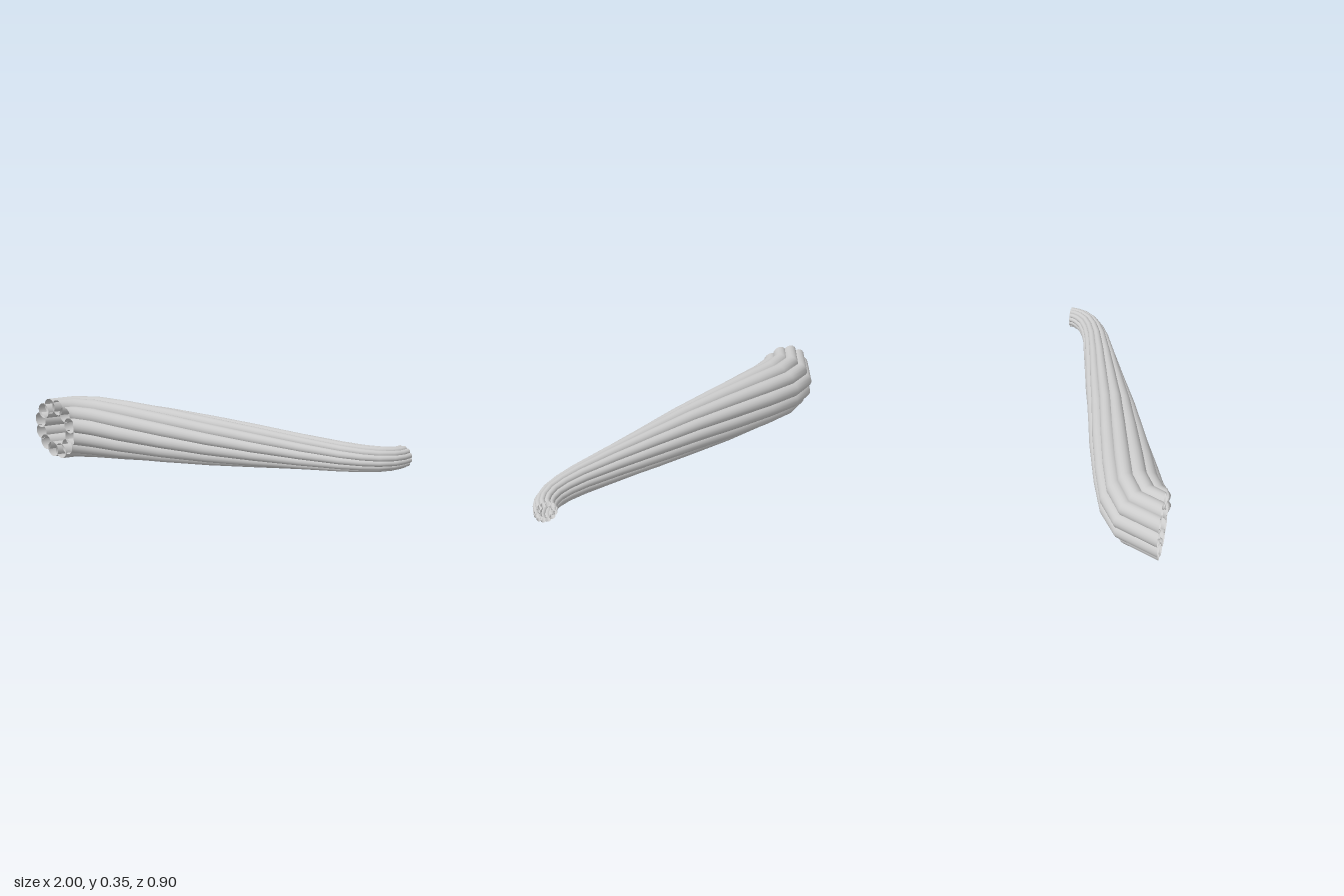
import * as THREE from 'three';

// Rings along the bundle: x, z, heading in degrees (from +x towards -z), outer radius
const RINGS = [
  [-0.83, 0.43, 90, 0.176], [-0.78, 0.32, 45, 0.176], [-0.67, 0.245, 32, 0.176],
  [-0.5, 0.18, 23, 0.17], [-0.25, 0.09, 19.5, 0.156], [0, 0.005, 19.5, 0.138],
  [0.25, -0.085, 19.5, 0.118], [0.5, -0.17, 19.5, 0.097], [0.7, -0.24, 22, 0.081],
  [0.8, -0.285, 27, 0.073], [0.87, -0.33, 38, 0.068], [0.915, -0.38, 58, 0.064],
  [0.935, -0.42, 75, 0.061], [0.94, -0.455, 90, 0.061],
];
const TUBES = 12, SIDES = 20, CENTRE_Y = 0.174;
const START = 18, TWIST = -60;
const rad = THREE.MathUtils.degToRad;

// One open tube that follows the rings while turning around the bundle's axis
function tubeGeometry(startDeg) {
  const positions = [], index = [];
  RINGS.forEach(([x, z, heading, radius], i) => {
    const a = rad(heading);
    const turn = THREE.MathUtils.clamp((x + 0.78) / 1.72, 0, 1);
    const theta = rad(startDeg + TWIST * turn);
    for (let j = 0; j < SIDES; j++) {
      const phi = theta + (j / SIDES) * Math.PI * 2;
      const side = radius * (0.75 * Math.cos(theta) + 0.25 * Math.cos(phi));
      const up = radius * (0.75 * Math.sin(theta) + 0.25 * Math.sin(phi));
      positions.push(x + side * Math.sin(a), CENTRE_Y + up, z + side * Math.cos(a));
      if (i < RINGS.length - 1) {
        const k = (j + 1) % SIDES, r0 = i * SIDES, r1 = r0 + SIDES;
        index.push(r0 + j, r1 + j, r0 + k, r0 + k, r1 + j, r1 + k);
      }
    }
  });
  const geometry = new THREE.BufferGeometry();
  geometry.setAttribute('position', new THREE.Float32BufferAttribute(positions, 3));
  geometry.setIndex(index);
  geometry.computeVertexNormals();
  return geometry;
}

export function createModel() {
  const group = new THREE.Group();
  group.name = 'twistedTubeBundle';
  const material = new THREE.MeshStandardMaterial({ color: 0xcccccc, side: THREE.DoubleSide });
  for (let n = 0; n < TUBES; n++) {
    const tube = new THREE.Mesh(tubeGeometry(START + (n * 360) / TUBES), material);
    tube.name = `tube${n + 1}`;
    group.add(tube);
  }
  return group;
}
